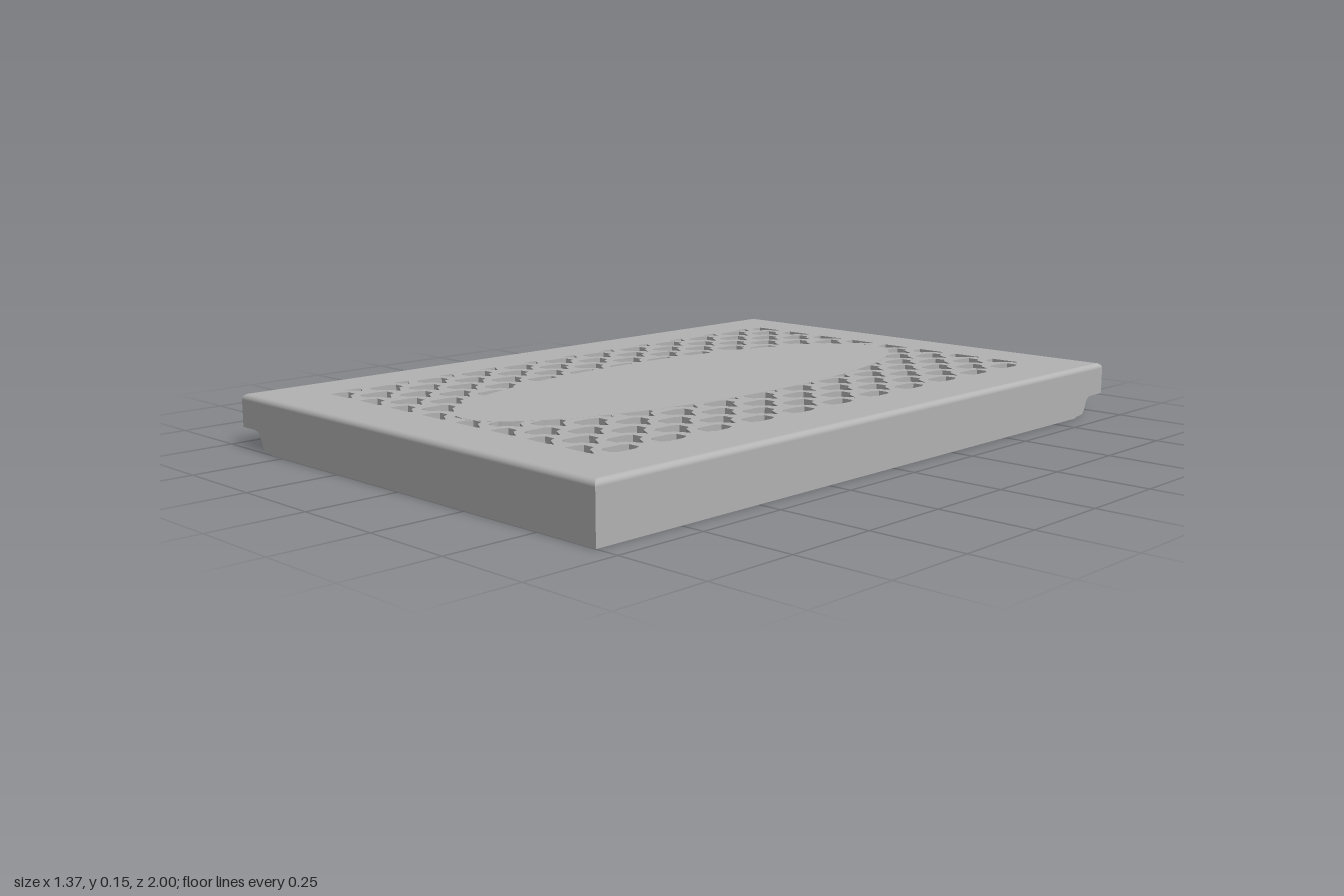
import * as THREE from 'three';

const HX = 0.685, HZ = 1, TOP = 0.145, R = 0.015, T = 0.024, PLATE_Y = 0.085;

const grey = new THREE.MeshStandardMaterial({ color: 0xb3b3b3 });
grey.name = 'grey';

function add(parent, name, geometry) {
  const mesh = new THREE.Mesh(geometry, grey);
  mesh.name = name;
  parent.add(mesh);
  return mesh;
}

// Cuts a polygon at one side of a rectangle: keeps points where sign * p[axis] <= limit
function clip(points, axis, sign, limit) {
  const out = [];
  points.forEach((p, i) => {
    const q = points[(i + 1) % points.length];
    const a = limit - sign * p[axis], b = limit - sign * q[axis];
    if (a >= 0) out.push(p);
    if (a * b < 0) out.push(p.clone().lerp(q, a / (a - b)));
  });
  return out;
}

// Arrow-shaped vent openings on a staggered lattice, trimmed to the vent field
function ventHoles() {
  const arrow = [[-0.037, -0.025], [-0.027, -0.042], [0.005, -0.042], [0.016, -0.021], [0.053, 0],
    [0.016, 0.021], [0.005, 0.042], [-0.027, 0.042], [-0.037, 0.025]];
  const holes = [];
  for (let row = -11; row <= 11; row++) {
    const start = row % 2 ? -0.475 : -0.541;
    for (let col = 0; col < 9; col++) {
      const cx = start + col * 0.132, cy = row * 0.076;
      let pts = arrow.map(([x, y]) => new THREE.Vector2(cx + x, cy + y));
      for (const s of [-1, 1]) {
        pts = clip(pts, 'x', s, 0.53);
        pts = clip(pts, 'y', s, 0.842);
      }
      if (pts.length > 2 && Math.abs(THREE.ShapeUtils.area(pts)) > 1e-4) holes.push(new THREE.Path(pts));
    }
  }
  return holes;
}

// Flat outline laid horizontally, from height y0 to y1
function slab(shape, y0, y1) {
  const g = new THREE.ExtrudeGeometry(shape, { depth: y1 - y0, bevelEnabled: false, curveSegments: 48 });
  return g.rotateX(-Math.PI / 2).translate(0, y0, 0);
}

// Wall with a curved notch running out at one end
function wallGeometry(half, end) {
  const profile = [[0, 0.056], [0.055, 0.056], [0.07, 0.054], [0.082, 0.044], [0.09, 0.022],
    [0.098, 0.01], [0.112, 0.005], [0.135, 0.004], [0.135, 0]];
  const pts = profile.map(([d, y]) => new THREE.Vector2(end * (half - d), y));
  const h = TOP - R;
  pts.push(new THREE.Vector2(-end * half, 0), new THREE.Vector2(-end * half, h), new THREE.Vector2(end * half, h));
  return new THREE.ExtrudeGeometry(new THREE.Shape(pts), { depth: T, bevelEnabled: false });
}

// Rounded top edge: quarter-round strips mitred at the four corners
function roundedEdge() {
  const steps = 5, pos = [], nor = [];
  const signs = [[-1, 1], [1, 1], [1, -1], [-1, -1]];
  for (let side = 0; side < 4; side++) {
    const [a, b] = [signs[side], signs[(side + 1) % 4]];
    const nx = (a[0] + b[0]) / 2, nz = (a[1] + b[1]) / 2;
    const point = (c, t) => {
      const inset = R * (1 - Math.cos(t));
      return [c[0] * (HX - inset), TOP - R + R * Math.sin(t), c[1] * (HZ - inset)];
    };
    for (let i = 0; i < steps; i++) {
      const t0 = i / steps * Math.PI / 2, t1 = (i + 1) / steps * Math.PI / 2;
      for (const [c, t] of [[a, t0], [b, t0], [b, t1], [a, t0], [b, t1], [a, t1]]) {
        pos.push(...point(c, t));
        nor.push(nx * Math.cos(t), Math.sin(t), nz * Math.cos(t));
      }
    }
  }
  const g = new THREE.BufferGeometry();
  g.setAttribute('position', new THREE.Float32BufferAttribute(pos, 3));
  g.setAttribute('normal', new THREE.Float32BufferAttribute(nor, 3));
  return g;
}

export function createModel() {
  const cover = new THREE.Group();
  cover.name = 'ventedCover';

  // Perforated top plate
  const x = HX - R, z = HZ - R;
  const plate = new THREE.Shape([[-x, -z], [x, -z], [x, z], [-x, z]].map(p => new THREE.Vector2(...p)));
  plate.holes = ventHoles();
  add(cover, 'ventPlate', slab(plate, PLATE_Y, TOP));

  // Solid oval closing the middle of the vents near the top
  const oval = new THREE.Shape();
  oval.absellipse(-0.005, 0, 0.288, 0.8, 0, Math.PI * 2);
  add(cover, 'centerOval', slab(oval, TOP - 0.02, TOP + 0.0004));

  add(cover, 'roundedTopEdge', roundedEdge());

  // Two identical halves, turned half a circle from each other
  for (const [name, turn] of [['front', 0], ['back', Math.PI]]) {
    const half = new THREE.Group();
    half.name = name + 'Half';
    half.rotation.y = turn;
    add(half, 'shortWall', wallGeometry(HX, -1)).position.z = HZ - T;
    const long = add(half, 'longWall', wallGeometry(HZ, 1));
    long.rotation.y = Math.PI / 2;
    long.position.x = HX - T;
    // Snap bumps on the inside of the long wall
    for (const s of [-1, 1]) {
      const bump = add(half, 'snapBump', new THREE.SphereGeometry(0.016, 16, 12));
      bump.position.set(HX - T, 0.028, s * 0.6);
    }
    cover.add(half);
  }
  return cover;
}
